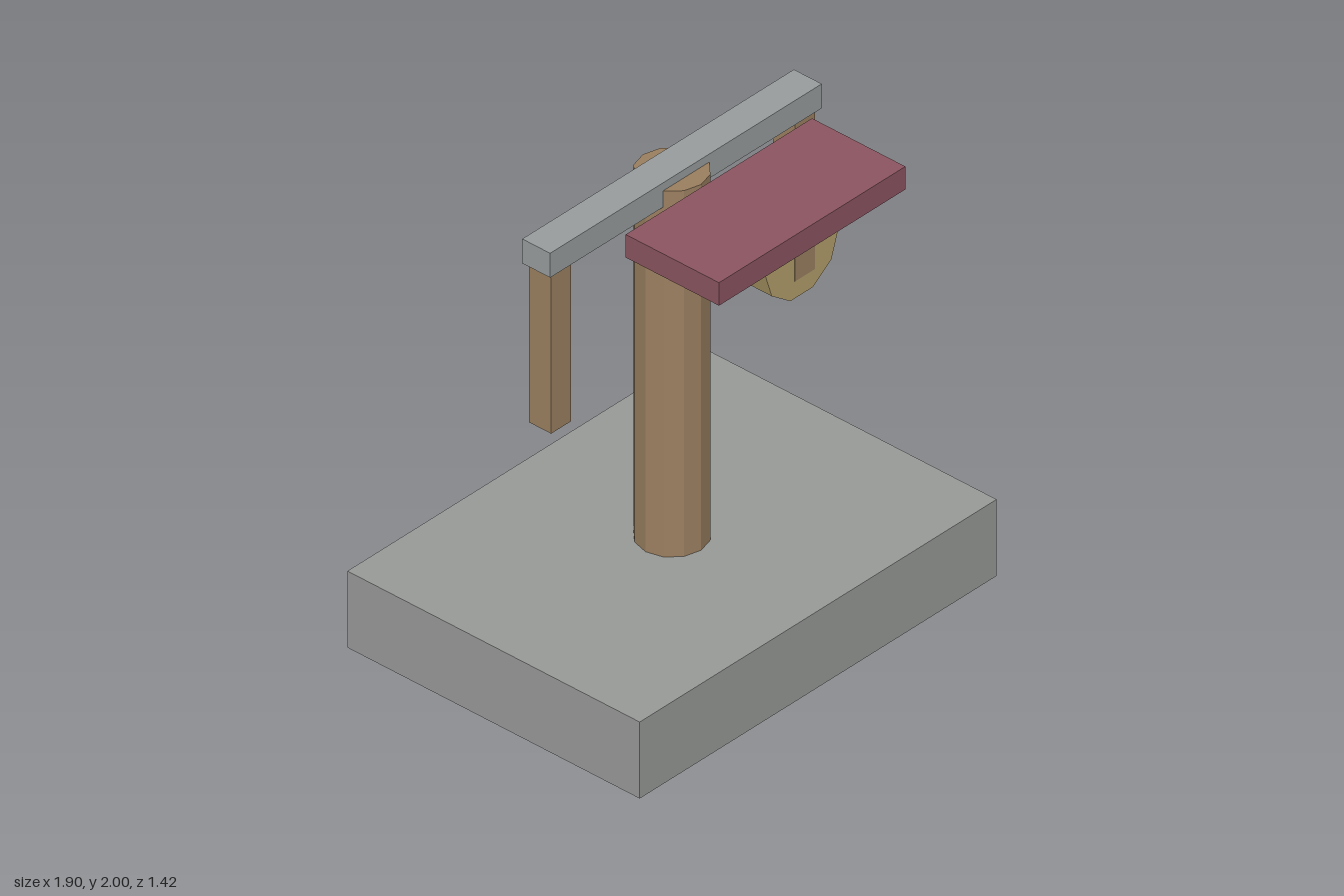
import * as THREE from 'three';

const paint = (name, color) => {
  const m = new THREE.MeshStandardMaterial({ color, flatShading: true });
  m.name = name;
  return m;
};

export function createModel() {
  const group = new THREE.Group();
  group.name = 'postWithCrossbeam';

  const stone = paint('stone grey', 0x989a98);
  const metal = paint('beam grey', 0x989d9d);
  const wood = paint('brown wood', 0x9b8060);
  const brass = paint('dull gold', 0xb5a06b);
  const red = paint('dark red', 0x8b5560);

  const add = (name, geometry, material, x, y, z) => {
    const mesh = new THREE.Mesh(geometry, material);
    mesh.name = name;
    mesh.position.set(x, y, z);
    group.add(mesh);
    return mesh;
  };
  const box = (w, h, d) => new THREE.BoxGeometry(w, h, d);

  // Base slab and twelve-sided post
  add('base', box(1.9, 0.333, 1.416), stone, 0, 0.1665, 0);
  add('post', new THREE.CylinderGeometry(0.141, 0.141, 1.592, 12), wood, 0, 1.129, 0);

  // Crossbeam, with the board floating in front of it
  add('crossbeam', box(1.446, 0.106, 0.135), metal, 0, 1.907, 0);
  add('board', box(0.992, 0.1, 0.452), red, 0, 1.95, 0.453);

  // Two hanging arms, a hair thicker than the disc so they show on its faces
  for (const side of [-1, 1]) {
    add(side > 0 ? 'leftArm' : 'rightArm', box(0.107, 0.698, 0.107), wood, side * 0.649, 1.507, 0);
  }

  // Ten-sided disc on the left arm, corners pointing along x
  const disc = new THREE.CylinderGeometry(0.196, 0.196, 0.104, 10);
  disc.rotateY(Math.PI / 2).rotateX(Math.PI / 2);
  add('disc', disc, brass, 0.633, 1.27, 0);

  return group;
}
